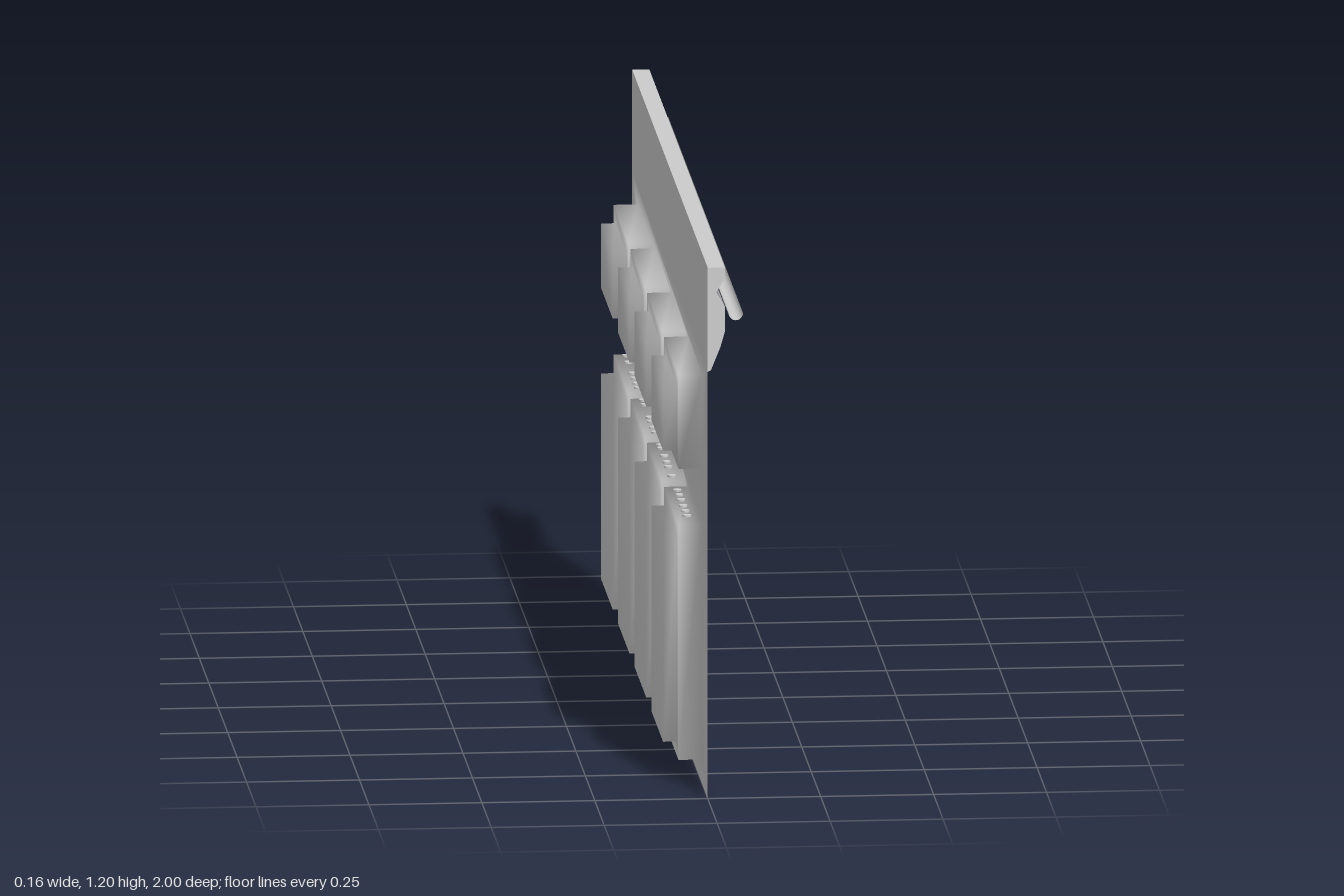
import * as THREE from 'three';
import { mergeGeometries, mergeVertices, toCreasedNormals } from 'three/addons/utils/BufferGeometryUtils.js';

const material = new THREE.MeshStandardMaterial({ color: 0xcccccc, side: THREE.DoubleSide });

function addPart(parent, name, geometry) {
  const mesh = new THREE.Mesh(geometry, material);
  mesh.name = name;
  parent.add(mesh);
  return mesh;
}

// Weld positions so that shading runs smoothly across the sheet
function weld(geometry) {
  geometry.deleteAttribute('normal');
  geometry.deleteAttribute('uv');
  const welded = mergeVertices(geometry, 1e-4);
  welded.computeVertexNormals();
  return welded;
}

// Corners of a rectangle, counter-clockwise
const corners = ([u0, u1, v0, v1]) => [[u0, v0], [u1, v0], [u1, v1], [u0, v1]];

// Two-step window recess: nested rectangles lofted backwards and closed at the back
function recess(rect, inset) {
  const [u0, u1, v0, v1] = rect;
  const inner = [u0 + inset, u1 - inset, v0 + inset * 0.9, v1 - inset * 0.9];
  const rings = [[rect, 0], [rect, -0.053], [inner, -0.053], [inner, -0.084]];
  const positions = [], index = [];
  rings.forEach(([r, depth], i) => {
    for (const [u, v] of corners(r)) positions.push(u, v, depth);
    if (i === 0) return;
    for (let j = 0; j < 4; j++) {
      const a = (i - 1) * 4 + j, b = (i - 1) * 4 + (j + 1) % 4;
      index.push(a, b, b + 4, a, b + 4, a + 4);
    }
  });
  index.push(12, 13, 14, 12, 14, 15);
  const g = new THREE.BufferGeometry();
  g.setAttribute('position', new THREE.Float32BufferAttribute(positions, 3));
  g.setIndex(index);
  return g;
}

// Round rod through points listed from bottom to top, with level ends
function rod(points, radius, sides) {
  const n = points.length - 1;
  const g = new THREE.CylinderGeometry(radius, radius, n, sides, n);
  const p = g.attributes.position;
  for (let i = 0; i < p.count; i++) {
    const [x, y, z] = points[Math.round(p.getY(i) + n / 2)];
    p.setXYZ(i, p.getX(i) + x, y, p.getZ(i) + z);
  }
  return toCreasedNormals(g, 0.9);
}

export function createModel() {
  const group = new THREE.Group();

  // Wall sheet with four bays, each with an upper and a lower recessed window
  const wallShape = new THREE.Shape(corners([-1, 1, 0, 0.97]).map(c => new THREE.Vector2(...c)));
  const recesses = [];
  for (const centre of [-0.667, -0.222, 0.222, 0.667]) {
    for (const [bottom, top] of [[0.715, 0.927], [0.057, 0.588]]) {
      const rect = [centre - 0.193, centre + 0.193, bottom, top];
      wallShape.holes.push(new THREE.Path(corners(rect).reverse().map(c => new THREE.Vector2(...c))));
      recesses.push(recess(rect, 0.037));
    }
  }
  const sheet = new THREE.ShapeGeometry(wallShape);
  sheet.deleteAttribute('normal');
  sheet.deleteAttribute('uv');
  const wall = addPart(group, 'wallWithWindows', weld(mergeGeometries([sheet, ...recesses])));
  wall.rotation.y = Math.PI / 2;

  // Moulded cornice along the top edge
  const profile = [[0, 0.965], [0.007, 0.968], [0.028, 1.02], [0.038, 1.055], [0.038, 1.112],
    [0.019, 1.145], [0.038, 1.175], [0.038, 1.2], [0, 1.2]];
  const cornice = new THREE.ExtrudeGeometry(
    new THREE.Shape(profile.map(c => new THREE.Vector2(...c))), { depth: 2, bevelEnabled: false });
  cornice.translate(0, 0, -1);
  addPart(group, 'cornice', toCreasedNormals(cornice, 1.1));

  // Window bars: straight ones by z, and one bent bar per window as [height, z] points
  const bars = new THREE.Group();
  bars.name = 'windowBars';
  group.add(bars);
  const BAR_X = -0.027, LOW = 0.052, HIGH = 0.592;
  const straight = [
    0.775, 0.727, 0.614, 0.566, 0.517,
    0.373, 0.281, 0.233, 0.094, 0.062,
    -0.067, -0.115, -0.217, -0.345, -0.39,
    -0.517, -0.56, -0.614, -0.662, -0.84];
  for (const z of straight) {
    addPart(bars, 'straightBar', rod([[BAR_X, LOW, z], [BAR_X, HIGH, z]], 0.0095, 8));
  }
  const bent = [
    [[LOW, 0.68], [0.25, 0.655], [0.45, 0.685], [HIGH, 0.675]],
    [[LOW, 0.168], [0.22, 0.185], [0.4, 0.185], [HIGH, 0.17]],
    [[LOW, -0.165], [0.2, -0.17], [0.42, -0.19], [HIGH, -0.175]],
    [[LOW, -0.77], [0.2, -0.745], [0.4, -0.745], [HIGH, -0.775]]];
  for (const path of bent) {
    addPart(bars, 'bentBar', rod(path.map(([y, z]) => [BAR_X, y, z]), 0.0095, 8));
  }

  // Open half-round gutter
  const gutter = new THREE.CylinderGeometry(0.016, 0.016, 1.99, 10, 1, true, Math.PI / 2, Math.PI);
  gutter.rotateX(Math.PI / 2);
  // Turn the open side upwards whatever half the arc covers
  gutter.computeBoundingBox();
  if (gutter.boundingBox.max.y > 0.008) gutter.rotateZ(Math.PI);
  gutter.translate(0.063, 1.094, -0.005);
  addPart(group, 'gutter', gutter);

  // Downpipe, bent outwards to reach the gutter
  addPart(group, 'downpipe',
    rod([[0.019, 0, 0], [0.019, 0.86, 0], [0.064, 1.04, 0], [0.064, 1.082, 0]], 0.0135, 12));

  return group;
}
